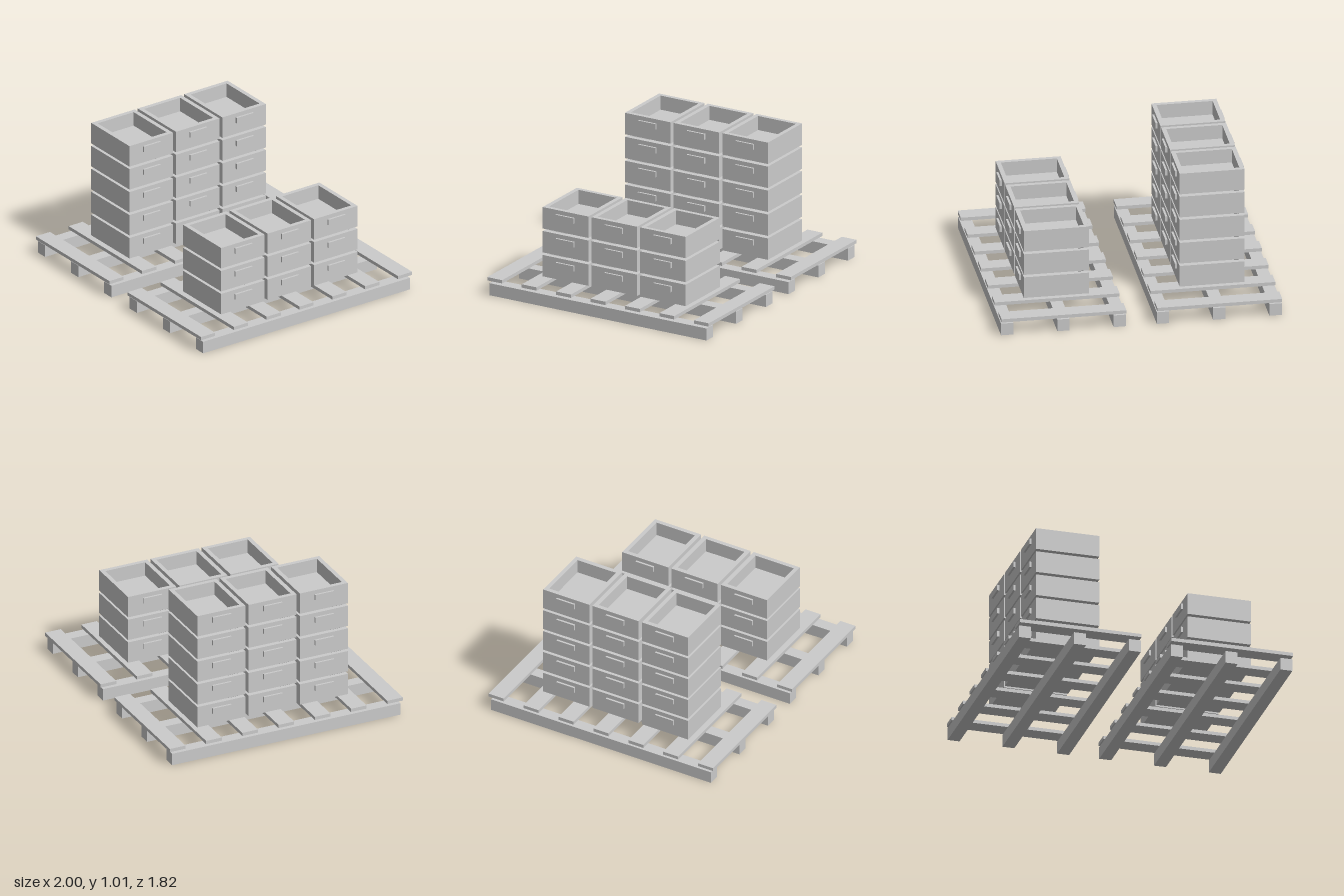
import * as THREE from 'three';

const material = new THREE.MeshStandardMaterial({ color: 0xcccccc, flatShading: true });

function addBox(parent, name, [w, h, d], [x, y, z]) {
  const mesh = new THREE.Mesh(new THREE.BoxGeometry(w, h, d), material);
  mesh.name = name;
  mesh.position.set(x, y, z);
  parent.add(mesh);
}

// Crate dimensions
const W = 0.463, H = 0.16, D = 0.375, WALL = 0.032, FLOOR = 0.055;

function rectangle(PathType, w, d) {
  return new PathType([
    new THREE.Vector2(-w / 2, -d / 2), new THREE.Vector2(w / 2, -d / 2),
    new THREE.Vector2(w / 2, d / 2), new THREE.Vector2(-w / 2, d / 2),
  ]);
}

// Open-topped crate standing on its local y = 0
function createCrate() {
  const crate = new THREE.Group();
  crate.name = 'crate';
  const outline = rectangle(THREE.Shape, W, D);
  outline.holes.push(rectangle(THREE.Path, W - 2 * WALL, D - 2 * WALL));
  const geometry = new THREE.ExtrudeGeometry(outline, { depth: H, bevelEnabled: false });
  geometry.rotateX(-Math.PI / 2);
  const walls = new THREE.Mesh(geometry, material);
  walls.name = 'crateWalls';
  crate.add(walls);
  addBox(crate, 'crateFloor', [W - 2 * WALL, FLOOR, D - 2 * WALL], [0, FLOOR / 2, 0]);
  // Grip blocks on both sides
  for (const side of [-1, 1]) {
    addBox(crate, 'crateHandle', [0.015, 0.042, 0.146], [side * (W / 2 + 0.0075), 0.108, 0]);
  }
  return crate;
}

// Pallet with three long runners and seven cross slats
function createPallet() {
  const pallet = new THREE.Group();
  pallet.name = 'pallet';
  for (const x of [-0.401, 0, 0.401]) {
    addBox(pallet, 'palletRunner', [0.088, 0.09, 1.784], [x, 0.045, 0]);
  }
  for (let i = -3; i <= 3; i++) {
    addBox(pallet, 'palletSlat', [0.89, 0.025, 0.122], [0, 0.1195, i * 0.283]);
  }
  return pallet;
}

// Pallet loaded with three stacks of crates
function createLoad(name, x, levels) {
  const load = new THREE.Group();
  load.name = name;
  load.position.x = x;
  load.add(createPallet());
  for (const z of [-0.404, -0.004, 0.397]) {
    for (let level = 0; level < levels; level++) {
      const crate = createCrate();
      crate.position.set(0, 0.133 + level * 0.179, z);
      load.add(crate);
    }
  }
  return load;
}

export function createModel() {
  const model = new THREE.Group();
  model.name = 'cratesOnPallets';
  model.add(createLoad('tallLoad', -0.555, 5), createLoad('shortLoad', 0.555, 3));
  return model;
}
